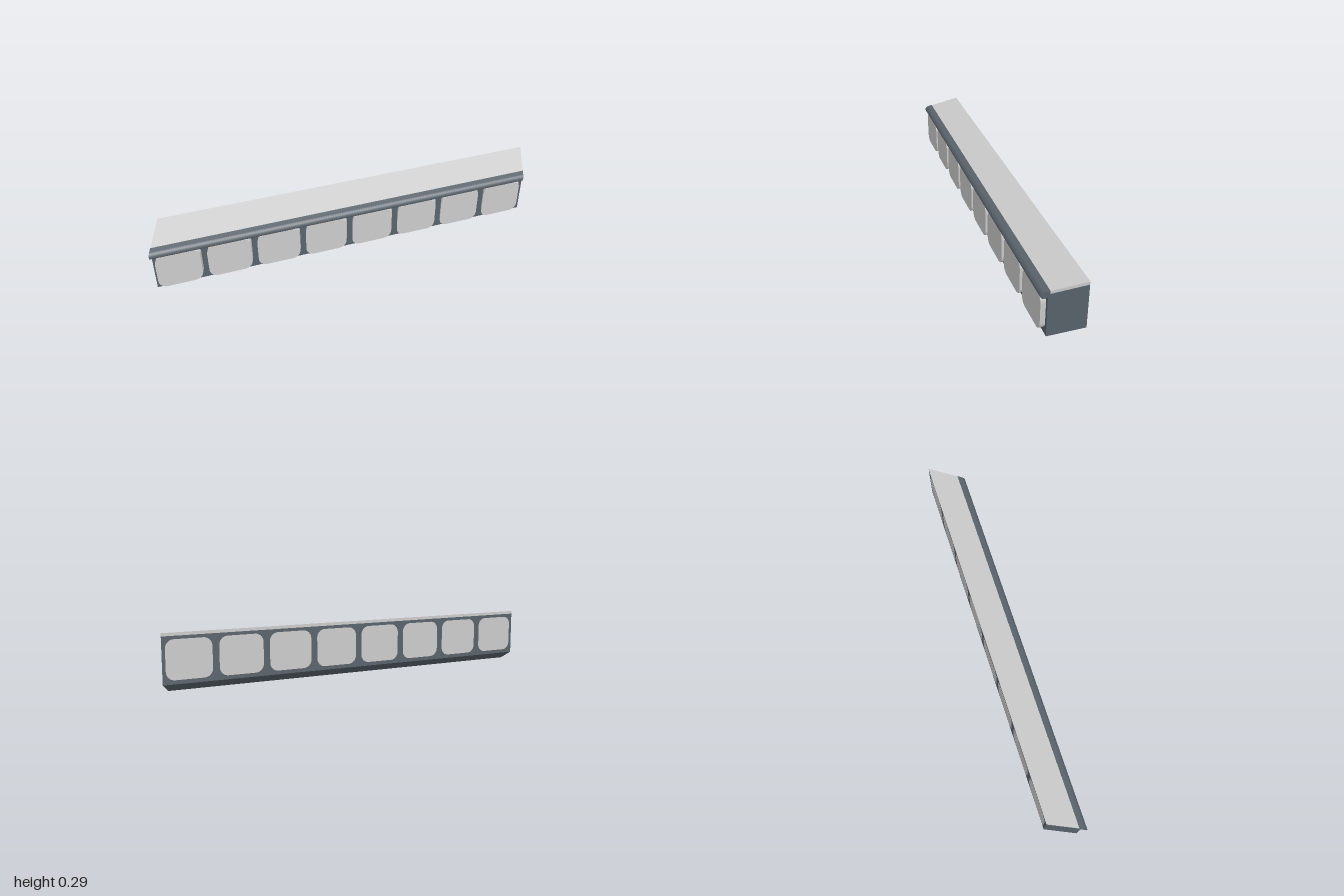
import * as THREE from 'three';

const CELLS = 8, PITCH = 0.241, LEFT = -0.988, WIDTH = CELLS * PITCH;
const FRONT = 0.06, BACK = -0.088, BODY_H = 0.213;

export function createModel() {
  const group = new THREE.Group();
  const dark = new THREE.MeshStandardMaterial({ color: 0x5a636b });
  const light = new THREE.MeshStandardMaterial({ color: 0xcccccc });

  // Everything slants right and up towards the back, pivoting on the front face
  const kx = -0.41, ky = -0.39;
  const shear = new THREE.Matrix4().set(
    1, 0, kx, -kx * FRONT,
    0, 1, ky, -ky * FRONT,
    0, 0, 1, 0,
    0, 0, 0, 1);

  function add(name, geometry, material) {
    const mesh = new THREE.Mesh(geometry.applyMatrix4(shear), material);
    mesh.name = name;
    group.add(mesh);
  }

  function box(x0, x1, y0, y1, z0, z1) {
    return new THREE.BoxGeometry(x1 - x0, y1 - y0, z1 - z0)
      .translate((x0 + x1) / 2, (y0 + y1) / 2, (z0 + z1) / 2);
  }

  // Rounded rectangle centred on the origin
  function roundedRect(w, h, r) {
    const x = w / 2 - r, y = h / 2 - r;
    const s = new THREE.Shape();
    s.absarc(x, y, r, 0, Math.PI / 2);
    s.absarc(-x, y, r, Math.PI / 2, Math.PI);
    s.absarc(-x, -y, r, Math.PI, Math.PI * 1.5);
    s.absarc(x, -y, r, Math.PI * 1.5, Math.PI * 2);
    s.closePath();
    return s;
  }

  // Row of blocks, each with a rounded panel running through it
  for (let i = 0; i < CELLS; i++) {
    const x = LEFT + i * PITCH;
    add(`block${i + 1}`, box(x, x + PITCH, 0, BODY_H, BACK, FRONT), dark);
    const panel = new THREE.ExtrudeGeometry(roundedRect(0.21, 0.18, 0.04), {
      depth: 0.08 - BACK + 0.0005, bevelEnabled: false, curveSegments: 8,
    }).translate(x + PITCH / 2, 0.108, BACK - 0.0005);
    add(`panel${i + 1}`, panel, light);
  }

  // Thin slab on top
  add('topSlab', box(LEFT, LEFT + WIDTH, BODY_H, 0.2275, BACK, FRONT), light);

  // Nosing with a rounded front, drawn in (-z, y) and extruded along x
  const bottom = 0.197, top = 0.229, r = (top - bottom) / 2;
  const profile = new THREE.Shape();
  profile.moveTo(-0.052, bottom);
  profile.lineTo(-0.052, top);
  profile.absarc(-0.088 + r, (top + bottom) / 2, r, Math.PI / 2, Math.PI * 1.5);
  profile.closePath();
  const nosing = new THREE.ExtrudeGeometry(profile, {
    depth: WIDTH + 0.002, bevelEnabled: false, curveSegments: 12,
  }).rotateY(Math.PI / 2).translate(LEFT - 0.001, 0, 0);
  add('nosing', nosing, dark);

  return group;
}
